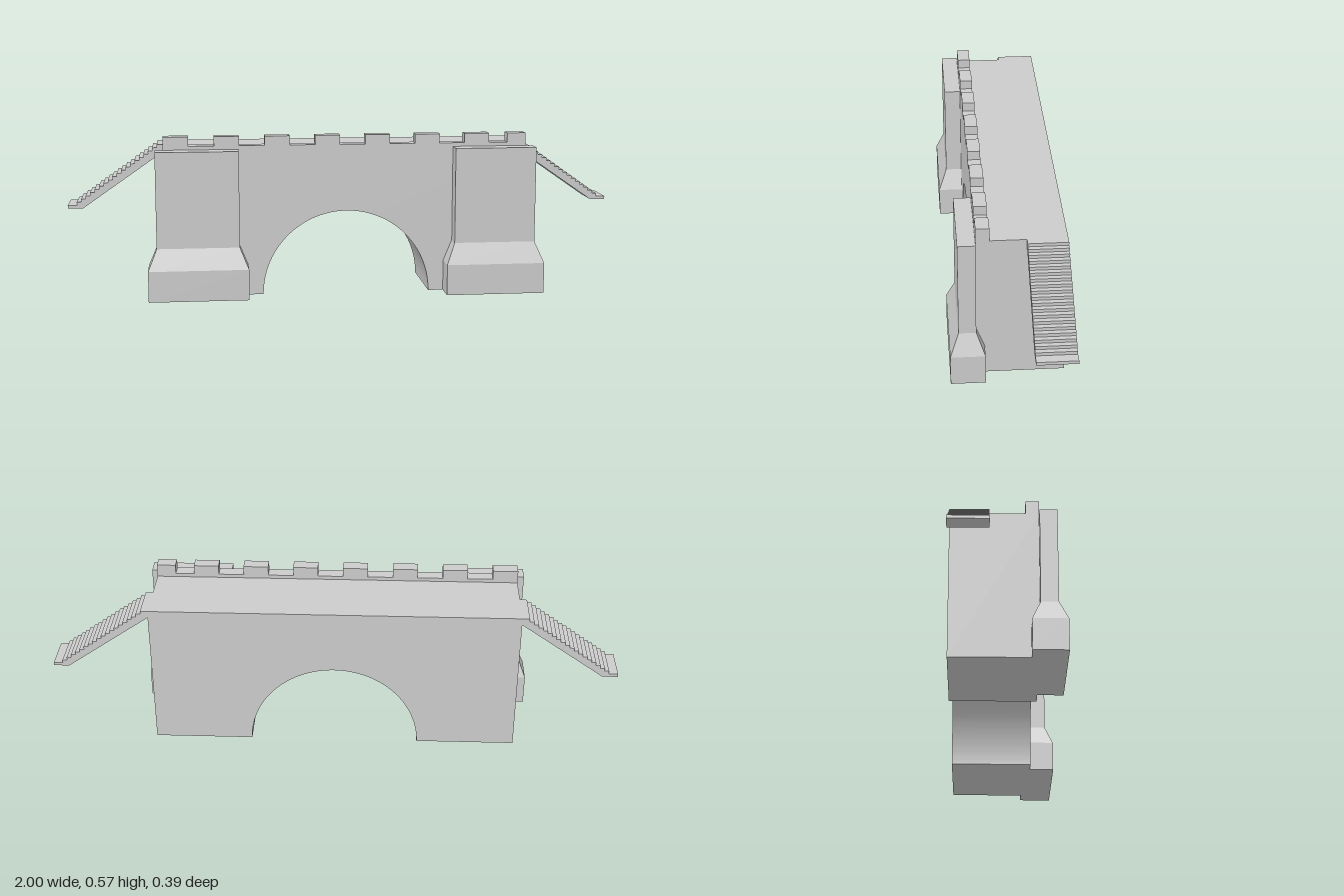
import * as THREE from 'three';
import { toCreasedNormals } from 'three/addons/utils/BufferGeometryUtils.js';

const TOP = 0.527, BACK = -0.192, FRONT = 0.105, HALF = 0.65;

export function createModel() {
  const group = new THREE.Group();
  const material = new THREE.MeshStandardMaterial({ color: 0xcccccc });

  const add = (name, geometry) => {
    const mesh = new THREE.Mesh(geometry, material);
    mesh.name = name;
    group.add(mesh);
    return mesh;
  };
  // Box given by its minimum and maximum corners
  const box = (name, x0, x1, y0, y1, z0, z1) =>
    add(name, new THREE.BoxGeometry(x1 - x0, y1 - y0, z1 - z0))
      .position.set((x0 + x1) / 2, (y0 + y1) / 2, (z0 + z1) / 2);
  // Outline in x, y pushed from z0 to z1
  const extrude = (shape, z0, z1, curveSegments = 12) =>
    new THREE.ExtrudeGeometry(shape, { depth: z1 - z0, bevelEnabled: false, curveSegments })
      .translate(0, 0, z0);

  // Bridge body with a round arch
  const outline = new THREE.Shape();
  outline.moveTo(-HALF, 0);
  outline.lineTo(-0.3, 0);
  outline.absarc(0, 0, 0.3, Math.PI, 0, true);
  outline.lineTo(HALF, 0);
  outline.lineTo(HALF, TOP);
  outline.lineTo(-HALF, TOP);
  outline.closePath();
  add('archedBody', toCreasedNormals(extrude(outline, BACK, FRONT, 64), 0.4));

  // Battlement along the front edge; the last merlon is cut short
  box('parapet', -HALF, HALF, TOP, 0.54, 0.06, FRONT);
  for (let i = 0; i < 8; i++) {
    const x = i < 7 ? -HALF + i * 0.1795 : 0.583;
    box('merlon', x, Math.min(x + 0.089, HALF), 0.54, 0.573, 0.06, FRONT);
  }

  // Buttresses: wide plinth, sloped shoulder, narrower shaft
  const levels = [
    [0, 0.354, 0.117], [0.11, 0.354, 0.117],
    [0.185, 0.292, 0.059], [TOP, 0.292, 0.059],
  ];
  const pier = new THREE.BoxGeometry(1, 1, 1, 1, 3, 1);
  const p = pier.attributes.position;
  for (let i = 0; i < p.count; i++) {
    const [y, w, d] = levels[Math.round((p.getY(i) + 0.5) * 3)];
    p.setXYZ(i, p.getX(i) * w, y, p.getZ(i) * d);
  }
  const pierFlat = pier.toNonIndexed();
  pierFlat.computeVertexNormals();
  for (const side of [-1, 1]) {
    add('buttress', pierFlat).position.set(side * 0.531, 0, 0.135);
  }

  // Stairs: stepped top, sloped underside, flat foot
  const steps = 20, startX = 0.675, footY = 0.297;
  const run = (1 - startX) / steps, rise = (TOP - footY) / steps;
  const profile = [[HALF, TOP]];
  for (let i = 0; i < steps; i++) {
    profile.push([startX + i * run, TOP - i * rise], [startX + i * run, TOP - (i + 1) * rise]);
  }
  // the last tread runs out level with the foot, so keep one riser of thickness there
  profile.pop();
  profile.push([1, footY + rise], [1, footY], [0.945, footY], [HALF, 0.502]);
  for (const side of [-1, 1]) {
    const points = profile.map(([x, y]) => new THREE.Vector2(side * x, y));
    add(side > 0 ? 'leftStairs' : 'rightStairs', extrude(new THREE.Shape(points), BACK, -0.06));
  }

  return group;
}
